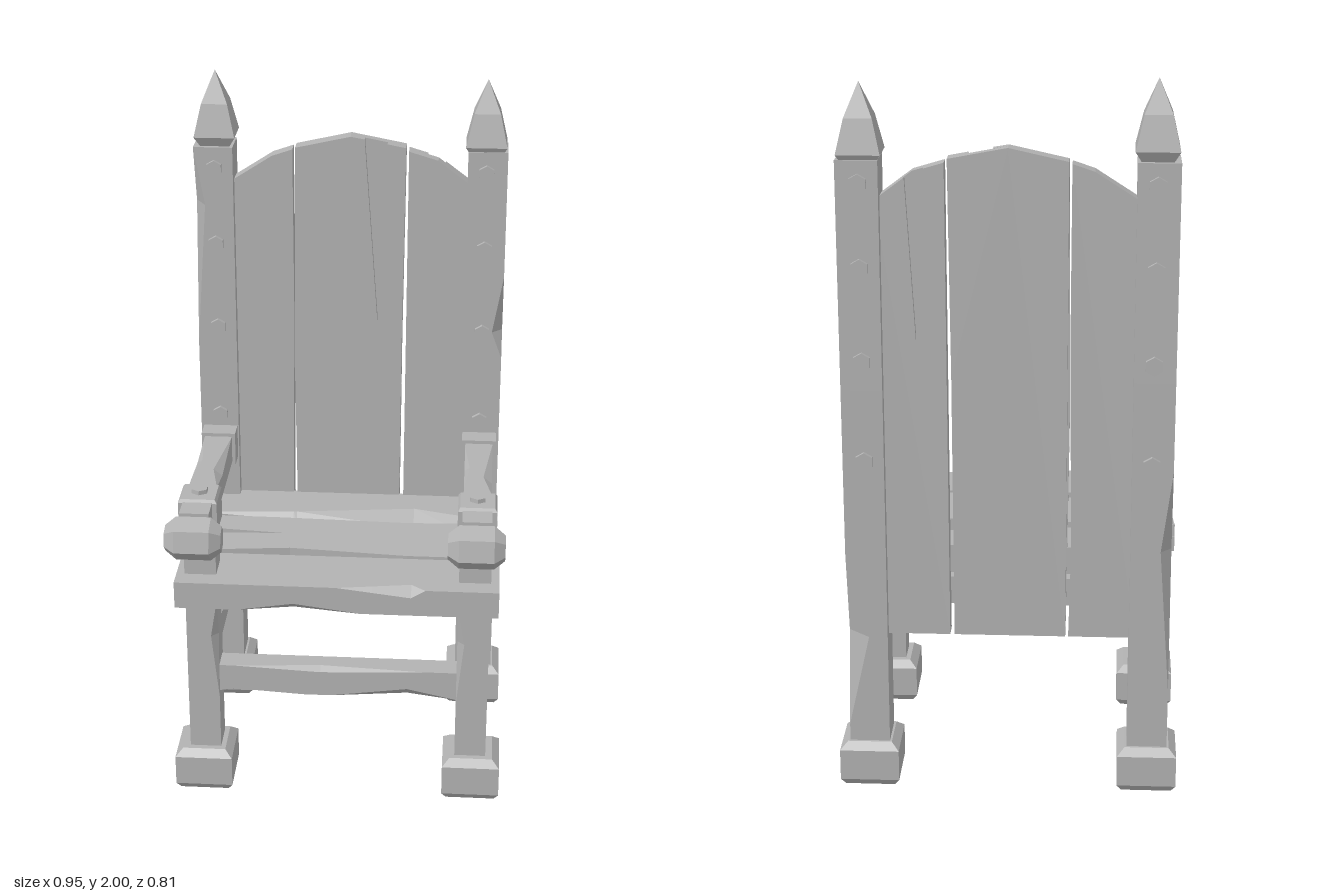
import * as THREE from 'three';

const wood = new THREE.MeshStandardMaterial({ color: 0xb2b2b2 });
wood.name = 'grey wood';

export function createModel() {
  const chair = new THREE.Group();
  chair.name = 'chair';

  // Adds a faceted mesh
  const add = (name, geo, x = 0, y = 0, z = 0) => {
    const g = geo.index ? geo.toNonIndexed() : geo;
    g.computeVertexNormals();
    const mesh = new THREE.Mesh(g, wood);
    mesh.name = name;
    mesh.position.set(x, y, z);
    chair.add(mesh);
    return mesh;
  };

  // Square beam along y with chipped corners.
  // chip: [corner, start, deepest, end, insetX, insetZ]; corners run -x+z, +x+z, +x-z, -x-z
  const beam = (w, d, y0, y1, chips = []) => {
    const levels = [...new Set([y0, y1, ...chips.flatMap((c) => c.slice(1, 4))])]
      .filter((y) => y >= y0 && y <= y1).sort((a, b) => a - b);
    const signs = [[-1, 1], [1, 1], [1, -1], [-1, -1]];
    const rings = levels.map((y) => signs.flatMap(([sx, sz], k) => {
      let cx = 0, cz = 0;
      for (const [corner, a, m, b, ix, iz] of chips) {
        if (corner !== k || y <= a || y >= b) continue;
        const f = y <= m ? (y - a) / (m - a) : (b - y) / (b - m);
        cx += ix * f;
        cz += iz * f;
      }
      const alongZ = [sx * w / 2, y, sz * (d / 2 - cz)];
      const alongX = [sx * (w / 2 - cx), y, sz * d / 2];
      return k % 2 ? [alongX, alongZ] : [alongZ, alongX];
    }));
    const pos = [];
    const tri = (a, b, c) => pos.push(...a, ...b, ...c);
    for (let r = 0; r + 1 < rings.length; r++) {
      for (let i = 0; i < 8; i++) {
        const j = (i + 1) % 8, lo = rings[r], hi = rings[r + 1];
        tri(lo[i], lo[j], hi[j]);
        tri(lo[i], hi[j], hi[i]);
      }
    }
    const bottom = rings[0], top = rings[rings.length - 1];
    for (let i = 1; i < 7; i++) {
      tri(top[0], top[i], top[i + 1]);
      tri(bottom[0], bottom[i + 1], bottom[i]);
    }
    const g = new THREE.BufferGeometry();
    g.setAttribute('position', new THREE.Float32BufferAttribute(pos, 3));
    return g;
  };
  const beamX = (...a) => beam(...a).rotateZ(-Math.PI / 2);
  const beamZ = (...a) => beam(...a).rotateX(Math.PI / 2);

  // Square turned profile given as [half width, height]
  const turned = (profile) => new THREE.LatheGeometry(
    profile.map(([r, y]) => new THREE.Vector2(r * Math.SQRT2, y)), 4).rotateY(Math.PI / 4);
  const slab = (points, depth) => new THREE.ExtrudeGeometry(
    new THREE.Shape(points.map((p) => new THREE.Vector2(...p))), { depth, bevelEnabled: false });
  const bolt = (length) => new THREE.CylinderGeometry(0.024, 0.026, length, 6);

  const foot = [[0, 0], [0.07, 0], [0.083, 0.02], [0.083, 0.11], [0.062, 0.13], [0, 0.13]];
  const finial = [[0, 0], [0.042, 0], [0.058, 0.028], [0.037, 0.12], [0, 0.21]];

  for (const s of [-1, 1]) {
    const side = s > 0 ? 'left' : 'right';
    const x = s * 0.39;

    // Back posts, each with its own wear
    const wear = s > 0
      ? [[1, 1.17, 1.25, 1.42, 0.03, 0.03], [2, 0.18, 0.45, 0.7, 0.06, 0.05]]
      : [[0, 1.2, 1.62, 1.79, 0.03, 0.05], [3, 0.3, 0.72, 0.95, 0.03, 0.03]];
    add(side + 'BackPost', beam(0.112, 0.11, 0.12, 1.79, wear), x, 0, -0.325);
    add(side + 'BackFoot', turned(foot), x, 0, -0.325);
    add(side + 'Finial', turned(finial), s * 0.385, s > 0 ? 1.775 : 1.79, -0.325);
    for (const y of [0.97, 1.25, 1.505, 1.73]) {
      add(side + 'PostBolt', bolt(0.134).rotateX(Math.PI / 2), s * 0.387, y, -0.325);
    }

    // Front legs
    add(side + 'FrontLeg', beam(0.09, 0.09, 0.12, 0.84,
      [[s > 0 ? 0 : 1, 0.3, 0.5, 0.62, 0.02, 0.02]]), s * 0.387, 0, 0.205);
    add(side + 'FrontFoot', turned(foot), x, 0, 0.205);

    // Side stretchers
    add(side + 'Stretcher', beamZ(0.07, 0.07, -0.28, 0.17,
      [[s > 0 ? 1 : 0, -0.27, -0.18, 0.02, 0.03, 0.02],
        [s > 0 ? 2 : 3, -0.25, -0.1, 0.12, 0.02, 0.012]]), s * 0.387, 0.45, 0);

    // Armrests with collar, bracket, bolt and knob
    const ax = s * 0.388;
    add(side + 'Armrest', beamZ(0.08, 0.08, -0.25, 0.16,
      [[2, -0.2, 0.02, 0.14, 0.025, 0.02], [3, -0.18, -0.04, 0.1, 0.015, 0.01]]), ax, 0.88, 0);
    add(side + 'ArmBracket', beamZ(0.1, 0.1, -0.275, -0.208), ax, 0.88, 0);
    add(side + 'ArmCollar', turned([[0, 0], [0.047, 0], [0.054, 0.012], [0.054, 0.1],
      [0.048, 0.11], [0, 0.11]]), ax, 0.825, 0.203);
    add(side + 'ArmBolt', bolt(0.03), ax, 0.932, 0.2);
    add(side + 'ArmNeck', beamZ(0.082, 0.085, 0.25, 0.325), ax, 0.885, 0);
    const knob = [[0, -0.078], [0.036, -0.078], [0.061, -0.048], [0.061, 0.048],
      [0.036, 0.078], [0, 0.078]].map((p) => new THREE.Vector2(...p));
    add(side + 'ArmKnob', new THREE.LatheGeometry(knob, 6).rotateZ(-Math.PI / 2)
      .rotateX(0.3), ax, 0.862, 0.345);
  }

  // Front stretcher
  add('frontStretcher', beamX(0.088, 0.07, -0.36, 0.35,
    [[1, -0.02, 0.2, 0.34, 0.03, 0.03], [0, -0.3, -0.05, 0.25, 0.012, 0.02],
      [1, -0.36, -0.3, -0.1, 0.012, 0.02]]), 0, 0.355, 0.205);

  // Seat planks
  add('frontSeatPlank', beamX(0.08, 0.187, -0.455, 0.455,
    [[1, -0.28, -0.12, 0.07, 0.025, 0.03], [0, 0, 0.21, 0.25, 0.025, 0.033],
      [2, -0.2, 0.1, 0.3, 0.02, 0.02]]), 0, 0.66, 0.211);
  add('rearSeatPlank', beamX(0.08, 0.165, -0.445, 0.45,
    [[0, -0.16, 0.2, 0.45, 0.03, 0.06], [0, -0.44, -0.15, 0.3, 0.02, 0.02]]), 0, 0.66, -0.225);
  const flat = (points, depth) => slab(points.map(([x, z]) => [x, -z]), depth).rotateX(-Math.PI / 2);
  add('middleSeatPlank', flat([[-0.44, 0.104], [0.435, 0.104], [0.44, -0.132],
    [-0.462, -0.128]], 0.045), 0, 0.62, 0);
  add('middleSeatPlankTop', flat([[-0.44, 0.104], [-0.15, 0.072], [0.19, 0.1], [0.435, 0.1],
    [0.44, -0.12], [0.18, -0.11], [-0.2, -0.122], [-0.462, -0.125], [-0.455, -0.045],
    [-0.17, -0.02], [-0.45, -0.008]], 0.035), 0, 0.665, 0);

  // Backrest boards, with shallow splits in one face
  add('rightBackBoard', slab([[-0.35, 0.45], [-0.166, 0.45], [-0.172, 0.7], [-0.165, 1.3],
    [-0.166, 1.78], [-0.225, 1.76], [-0.35, 1.68]], 0.05), 0, 0, -0.35);
  add('middleBackBoard', slab([[-0.158, 0.45], [0.15, 0.45], [0.152, 1.2], [0.158, 1.79],
    [0, 1.82], [-0.158, 1.785]], 0.028), 0, 0, -0.35);
  add('middleBackBoardFace', slab([[-0.158, 0.45], [0.075, 0.45], [0.15, 0.57], [0.152, 1.2],
    [0.158, 1.79], [0.105, 1.8], [0.08, 1.26], [0.04, 1.813], [0, 1.82], [-0.158, 1.785],
    [-0.165, 1.1]], 0.022), 0, 0, -0.322);
  add('leftBackBoard', slab([[0.162, 0.45], [0.35, 0.45], [0.35, 1.68], [0.25, 1.755],
    [0.166, 1.78]], 0.035), 0, 0, -0.335);
  add('leftBackBoardRear', slab([[0.162, 0.45], [0.35, 0.45], [0.35, 1.68], [0.27, 1.74],
    [0.245, 1.3], [0.22, 1.764], [0.166, 1.78]], 0.015), 0, 0, -0.35);

  return chair;
}
